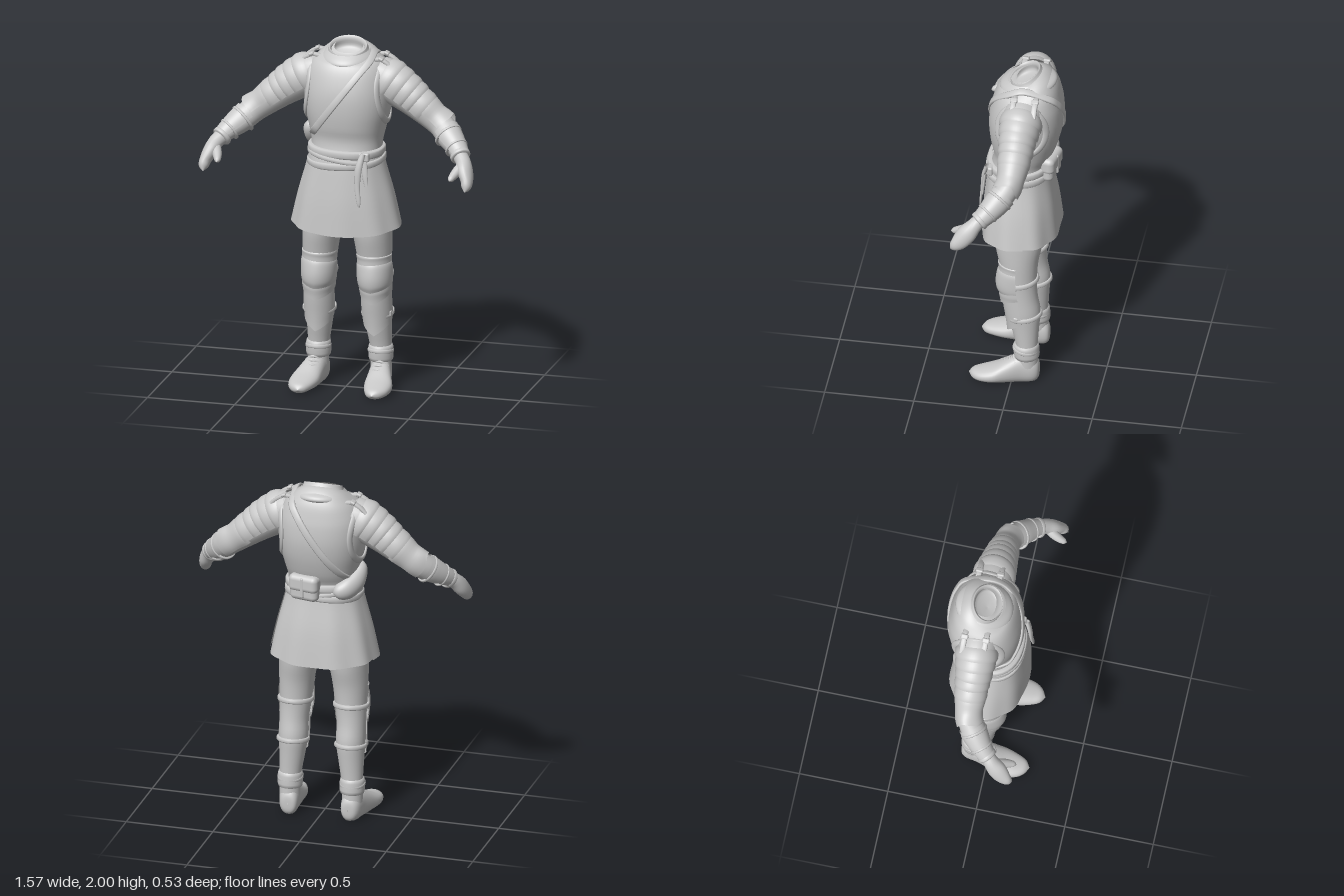
import * as THREE from 'three';
import { RoundedBoxGeometry } from 'three/addons/geometries/RoundedBoxGeometry.js';

const V = (x, y, z) => new THREE.Vector3(x, y, z);
const TAU = Math.PI * 2;
const steel = new THREE.MeshStandardMaterial({ color: 0xc8c8c8, side: THREE.DoubleSide });
steel.name = 'plain grey';

// Smoothly resample rows of numbers, n steps per segment
function sample(rows, n, loop) {
  const L = rows.length, out = [];
  const at = i => loop ? rows[(i + L) % L] : rows[Math.min(L - 1, Math.max(0, i))];
  for (let i = 0; i < (loop ? L : L - 1); i++) for (let k = 0; k < n; k++) {
    const t = k / n, a = at(i - 1), b = at(i), c = at(i + 1), d = at(i + 2);
    out.push(b.map((_, j) => b[j] + 0.5 * t * (c[j] - a[j] +
      t * (2 * a[j] - 5 * b[j] + 4 * c[j] - d[j] + t * (3 * (b[j] - c[j]) + d[j] - a[j])))));
  }
  if (!loop) out.push(rows[L - 1]);
  return out;
}

// Skin over sections [x, y, z, radius along ref, radius across]
function limb(parent, name, rows, o = {}) {
  const { n = 4, seg = 28, from = 0, to = TAU, p = 1, axis, loop = false, warp } = o;
  const ref = o.ref || (() => V(0, 0, 1));
  const S = sample(rows, n, loop), M = S.length, full = to - from > TAU - 0.001;
  const cols = full ? seg : seg + 1, pos = [], idx = [];
  const centre = i => V(...(loop ? S[(i + M) % M] : S[Math.min(M - 1, Math.max(0, i))]).slice(0, 3));
  const pw = v => Math.sign(v) * Math.abs(v) ** p;
  S.forEach((r, i) => {
    const c = centre(i), t = (axis ? axis.clone() : centre(i + 1).sub(centre(i - 1))).normalize();
    const u = ref(c).clone();
    u.addScaledVector(t, -u.dot(t)).normalize();
    const v = t.clone().cross(u);
    for (let j = 0; j < cols; j++) {
      const a = from + (to - from) * j / seg;
      const q = c.clone().addScaledVector(u, r[3] * pw(Math.cos(a))).addScaledVector(v, r[4] * pw(Math.sin(a)));
      if (warp) warp(q, i / (M - 1), a);
      pos.push(q.x, q.y, q.z);
    }
  });
  for (let i = 0; i < (loop ? M : M - 1); i++) for (let j = 0; j < seg; j++) {
    const i2 = (i + 1) % M, j2 = full ? (j + 1) % seg : j + 1;
    const a = i * cols + j, b = i * cols + j2, c = i2 * cols + j, d = i2 * cols + j2;
    idx.push(a, b, c, b, d, c);
  }
  const g = new THREE.BufferGeometry();
  g.setAttribute('position', new THREE.Float32BufferAttribute(pos, 3));
  g.setIndex(idx);
  g.computeVertexNormals();
  return add(parent, name, g);
}

function add(parent, name, geo, x = 0, y = 0, z = 0) {
  const m = new THREE.Mesh(geo, steel);
  m.name = name;
  m.position.set(x, y, z);
  parent.add(m);
  return m;
}

// Rounded band around a limb
function cuff(parent, name, c, axis, ra, rb, w, th, p = 1) {
  const d = axis.clone().normalize();
  const rows = [[-0.5, -th], [-0.45, 0.5 * th], [-0.25, th], [0.25, th], [0.45, 0.5 * th], [0.5, -th]].map(([s, e]) =>
    [...c.clone().addScaledVector(d, s * w).toArray(), ra + e, rb + e]);
  return limb(parent, name, rows, { n: 1, axis: d, p, seg: 36 });
}

const grow = (r, e) => [r[0], r[1], r[2], r[3] + e, r[4] + e];

// Breastplate sections and surface lookups for straps
const P = 0.88;
const torsoRows = [[0, 1.32, -0.015, 0.165, 0.2], [0, 1.42, -0.025, 0.155, 0.198], [0, 1.5, -0.035, 0.18, 0.213],
  [0, 1.6, -0.044, 0.2, 0.236], [0, 1.7, -0.052, 0.205, 0.244], [0, 1.8, -0.062, 0.19, 0.236], [0, 1.87, -0.07, 0.165, 0.207],
  [0, 1.91, -0.07, 0.14, 0.168], [0, 1.94, -0.065, 0.11, 0.125], [0, 1.955, -0.06, 0.07, 0.08]];
const fine = sample(torsoRows, 10);
const rowAt = y => fine.reduce((a, b) => Math.abs(b[1] - y) < Math.abs(a[1] - y) ? b : a);
const other = (v, r) => Math.max(0, 1 - Math.min(1, Math.abs(v) / r) ** (2 / P)) ** (P / 2);
const skinZ = (x, y, s) => { const r = rowAt(y); return r[2] + s * (r[3] * other(x, r[4]) + 0.005); };
const skinX = (y, z) => { const r = rowAt(y); return r[4] * other(z - r[2], r[3]) + 0.002; };
const outward = c => V(c.x, c.y - 1.65, c.z + 0.05);

function buildBody(body) {
  limb(body, 'breastplate', torsoRows, { p: P, seg: 48 });
  limb(body, 'gorget', [[0, 1.89, -0.06, 0.152, 0.145], [0, 1.905, -0.06, 0.162, 0.152], [0, 1.925, -0.06, 0.15, 0.14],
    [0, 1.945, -0.055, 0.115, 0.118]], { axis: V(0, 1, 0.15), seg: 40 });
  // Open collar, dipping to a notch at the front
  limb(body, 'neckCollar', [[0, 1.92, -0.05, 0.11, 0.125], [0, 1.945, -0.045, 0.095, 0.113], [0, 1.962, -0.04, 0.088, 0.106],
    [0, 1.945, -0.04, 0.078, 0.094], [0, 1.9, -0.045, 0.074, 0.09], [0, 1.885, -0.045, 0.002, 0.002]], { axis: V(0, 1, 0.45), seg: 36,
    warp: (q, s, a) => { if (s < 0.75) q.y -= 0.022 * s * Math.max(0, Math.cos(a)) ** 12; } });

  // Shoulder strap, down the chest and the back to the right hip
  const strap = [];
  for (let i = 0; i <= 8; i++) {
    const t = i / 8, x = -0.2 + 0.345 * t, y = 1.44 + 0.46 * t;
    strap.push([x, y, skinZ(x, y, 1), 0.008, 0.02]);
  }
  strap.push([0.15, 1.935, -0.06, 0.008, 0.02]);
  for (let i = 8; i >= 0; i--) {
    const t = i / 8, x = -0.19 + 0.325 * t, y = 1.42 + 0.47 * t;
    strap.push([x, y, skinZ(x, y, -1), 0.008, 0.02]);
  }
  limb(body, 'shoulderStrap', strap, { ref: outward, seg: 10, p: 0.6 });

  // Hips and split skirt
  limb(body, 'hips', [[0, 1.34, -0.015, 0.15, 0.19], [0, 1.1, -0.03, 0.16, 0.22], [0, 0.98, -0.03, 0.13, 0.18],
    [0, 0.93, -0.03, 0.05, 0.08], [0, 0.92, -0.03, 0.002, 0.002]]);
  const skirt = [[0, 1.37, -0.015, 0.165, 0.2], [0, 1.28, -0.015, 0.178, 0.22], [0, 1.12, -0.022, 0.2, 0.262], [0, 0.94, -0.028, 0.214, 0.3]];
  const folds = (q, s, a) => {
    const f = 1 + 0.018 * s * Math.cos(9 * a);
    q.x *= f; q.z *= f; q.y -= 0.012 * s * Math.cos(a * 2);
  };
  limb(body, 'skirtBack', skirt, { from: 1.5, to: TAU - 1.5, p: P, warp: folds, seg: 48 });
  limb(body, 'skirtFront', skirt.map((r, i) => grow(r, 0.003 + i * 0.002)), { from: -1.75, to: 1.75, p: P, warp: folds, seg: 48 });

  // Belts, hanging ends and knife
  cuff(body, 'upperBelt', V(0, 1.385, -0.018), V(0.03, 1, 0.02), 0.172, 0.204, 0.045, 0.012, P);
  cuff(body, 'lowerBelt', V(0, 1.325, -0.015), V(-0.05, 1, 0.06), 0.178, 0.208, 0.04, 0.012, P);
  cuff(body, 'crossBelt', V(0, 1.35, -0.015), V(0.13, 1, 0.0), 0.18, 0.208, 0.026, 0.01, P);
  add(body, 'beltBuckle', new RoundedBoxGeometry(0.06, 0.05, 0.03, 2, 0.01), 0.14, 1.375, 0.13);
  limb(body, 'knife', [[0.14, 1.4, 0.15, 0.012, 0.014], [0.12, 1.32, 0.172, 0.012, 0.02], [0.115, 1.22, 0.182, 0.009, 0.016],
    [0.125, 1.13, 0.19, 0.006, 0.012], [0.128, 1.1, 0.19, 0.002, 0.002]], { seg: 12 });
  limb(body, 'beltEnd', [[0.15, 1.35, 0.158, 0.007, 0.016], [0.155, 1.28, 0.165, 0.007, 0.016], [0.165, 1.22, 0.17, 0.004, 0.01]], { seg: 12 });

  // Box pouch at the back and curved pouch on the right hip
  const pouch = new THREE.Group();
  pouch.name = 'boxPouch';
  pouch.position.set(0.06, 1.395, -0.196);
  pouch.rotation.y = -0.2;
  body.add(pouch);
  add(pouch, 'pouchBody', new RoundedBoxGeometry(0.17, 0.145, 0.07, 4, 0.03));
  add(pouch, 'pouchFlap', new RoundedBoxGeometry(0.178, 0.1, 0.08, 4, 0.03), 0, 0.028, -0.003);
  add(pouch, 'pouchStrap', new RoundedBoxGeometry(0.022, 0.12, 0.086, 2, 0.01), 0, 0.008, -0.002);
  limb(body, 'hipPouch', [[-0.1, 1.375, -0.185, 0.004, 0.004], [-0.12, 1.38, -0.178, 0.035, 0.04], [-0.165, 1.39, -0.15, 0.045, 0.058],
    [-0.2, 1.415, -0.1, 0.045, 0.06], [-0.212, 1.45, -0.055, 0.042, 0.052], [-0.215, 1.49, -0.025, 0.032, 0.036],
    [-0.215, 1.52, -0.015, 0.004, 0.004]], { ref: c => V(c.x, 0, c.z) });
}

function buildArm(arm) {
  const A = [[0.17, 1.8, -0.06, 0.11, 0.11], [0.23, 1.775, -0.055, 0.108, 0.117], [0.325, 1.715, -0.05, 0.092, 0.106],
    [0.41, 1.65, -0.048, 0.08, 0.09], [0.53, 1.556, -0.035, 0.066, 0.074], [0.6, 1.495, 0.015, 0.065, 0.07],
    [0.66, 1.445, 0.07, 0.05, 0.053], [0.7, 1.405, 0.12, 0.037, 0.041]];
  limb(arm, 'sleeve', A);
  const F = sample(A, 6);
  // Overlapping shoulder plates
  for (let k = 0; k < 5; k++) {
    const i = 4 + 3 * k;
    limb(arm, 'shoulderPlate', [grow(F[i], 0.002), grow(F[i + 1], 0.009), grow(F[i + 3], 0.015), grow(F[i + 4], 0.01)],
      { n: 2, from: -Math.PI * 1.12, to: Math.PI * 0.12 });
  }
  // Armhole rim and shoulder buckles
  const rim = [];
  for (let i = 0; i < 16; i++) {
    const a = i / 16 * TAU, y = 1.71 + 0.165 * Math.cos(a), z = -0.055 + 0.135 * Math.sin(a);
    rim.push([skinX(y, z), y, z, 0.01, 0.02]);
  }
  limb(arm, 'armholeRim', rim, { loop: true, ref: outward, seg: 10 });
  for (const z of [-0.13, -0.01]) {
    limb(arm, 'shoulderBuckleStrap', [[0.15, 1.9, z, 0.01, 0.016], [0.19, 1.905, z, 0.01, 0.016], [0.235, 1.885, z, 0.01, 0.016],
      [0.275, 1.85, z, 0.01, 0.016]], { ref: () => V(0, 1, 0), seg: 10, p: 0.6 });
    add(arm, 'buckle', new RoundedBoxGeometry(0.03, 0.018, 0.042, 2, 0.008), 0.2, 1.908, z).rotation.z = -0.4;
  }
  // Elbow guard with a raised corner
  limb(arm, 'elbowGuard', [grow(F[19], 0.006), grow(F[20], 0.012), grow(F[22], 0.008), grow(F[24], 0.012), grow(F[26], 0.012)],
    { n: 3, from: -Math.PI * 1.2, to: 0, warp: (q, s, a) => {
      const e = Math.max(0, s - 0.5) * 2 * Math.max(0, Math.cos(a + 1.9)) ** 6;
      q.x -= 0.01 * e; q.y += 0.025 * e; q.z -= 0.012 * e;
    } });
  // Forearm plate and bands
  limb(arm, 'forearmPlate', [27, 30, 33, 36, 39].map(i => grow(F[i], 0.008)), { from: -Math.PI * 1.1, to: Math.PI * 0.1 });
  for (const [i, w] of [[29, 0.018], [35, 0.016], [39, 0.03]]) {
    const c = V(...F[i].slice(0, 3)), d = V(...F[i + 1].slice(0, 3)).sub(c);
    cuff(arm, 'armBand', c, d, F[i][3] + 0.004, F[i][4] + 0.004, w, 0.008);
  }
  // Gloved hand
  limb(arm, 'hand', [[0.688, 1.418, 0.105, 0.04, 0.042], [0.71, 1.395, 0.13, 0.044, 0.042], [0.73, 1.355, 0.165, 0.054, 0.042],
    [0.75, 1.31, 0.202, 0.046, 0.033], [0.754, 1.28, 0.232, 0.03, 0.026], [0.751, 1.26, 0.252, 0.003, 0.003]], { seg: 20 });
  limb(arm, 'thumb', [[0.712, 1.385, 0.14, 0.028, 0.028], [0.69, 1.355, 0.185, 0.028, 0.028], [0.675, 1.335, 0.225, 0.022, 0.022],
    [0.67, 1.325, 0.25, 0.015, 0.015], [0.67, 1.322, 0.262, 0.002, 0.002]], { ref: () => V(0, 1, 0), seg: 16 });
}

function buildLeg(leg) {
  limb(leg, 'trouserLeg', [[0.13, 1.02, -0.03, 0.14, 0.12], [0.145, 0.9, -0.028, 0.133, 0.108], [0.155, 0.78, -0.03, 0.11, 0.098],
    [0.16, 0.65, -0.038, 0.095, 0.088], [0.165, 0.55, -0.05, 0.088, 0.081], [0.165, 0.45, -0.062, 0.092, 0.082],
    [0.17, 0.35, -0.07, 0.078, 0.072], [0.178, 0.22, -0.08, 0.06, 0.06], [0.18, 0.1, -0.08, 0.062, 0.058]]);
  // Pointed plates on knee and shin
  const point = k => (q, s, a) => { q.y -= k * s ** 3 * Math.max(0, 1 - Math.abs(a) / 1.5); };
  const plate = (name, rows, k, half = 1.55) => limb(leg, name, rows, { from: -half, to: half, warp: point(k) });
  plate('shinPlate', [[0.165, 0.58, -0.04, 0.105, 0.086], [0.165, 0.5, -0.05, 0.104, 0.088], [0.166, 0.44, -0.058, 0.1, 0.088],
    [0.168, 0.395, -0.062, 0.094, 0.083]], 0.075);
  plate('lowerKneePlate', [[0.162, 0.62, -0.035, 0.115, 0.096], [0.163, 0.585, -0.04, 0.12, 0.095], [0.164, 0.56, -0.042, 0.112, 0.09]], 0.05);
  plate('upperKneePlate', [[0.156, 0.785, -0.03, 0.108, 0.095], [0.156, 0.775, -0.03, 0.115, 0.101], [0.157, 0.75, -0.03, 0.112, 0.098],
    [0.158, 0.7, -0.03, 0.114, 0.099]], 0);
  plate('kneeCap', [[0.158, 0.735, -0.03, 0.11, 0.097], [0.159, 0.715, -0.03, 0.12, 0.102], [0.16, 0.66, -0.032, 0.13, 0.102],
    [0.161, 0.62, -0.035, 0.127, 0.099], [0.162, 0.595, -0.036, 0.112, 0.093]], 0.03);
  // Straps and ankle wraps
  const up = V(0, 1, 0);
  cuff(leg, 'thighStrap', V(0.14, 0.95, -0.029), up, 0.136, 0.114, 0.025, 0.005);
  cuff(leg, 'kneeStrap', V(0.16, 0.66, -0.037), V(0, 1, 0.15), 0.098, 0.09, 0.03, 0.011);
  cuff(leg, 'calfStrap', V(0.166, 0.43, -0.063), V(0, 1, 0.15), 0.092, 0.082, 0.028, 0.01);
  add(leg, 'kneeBuckle', new RoundedBoxGeometry(0.02, 0.04, 0.03, 2, 0.008), 0.25, 0.655, -0.02);
  add(leg, 'calfBuckle', new RoundedBoxGeometry(0.02, 0.035, 0.03, 2, 0.008), 0.245, 0.435, -0.03);
  cuff(leg, 'ankleWrap', V(0.179, 0.195, -0.078), V(0, 1, 0.06), 0.064, 0.062, 0.095, 0.008);
  cuff(leg, 'ankleStrap', V(0.179, 0.205, -0.075), V(0, 1, -0.12), 0.069, 0.067, 0.022, 0.006);
  // Shoe with flat sole
  limb(leg, 'shoe', [[0.173, 0.065, -0.15, 0.003, 0.003], [0.174, 0.065, -0.145, 0.05, 0.036], [0.178, 0.072, -0.115, 0.082, 0.054],
    [0.186, 0.076, -0.05, 0.09, 0.06], [0.2, 0.06, 0.03, 0.07, 0.072], [0.212, 0.045, 0.1, 0.048, 0.08],
    [0.218, 0.036, 0.17, 0.035, 0.066], [0.215, 0.032, 0.215, 0.025, 0.04], [0.212, 0.03, 0.238, 0.003, 0.003]],
  { ref: () => up, axis: V(0, 0, 1), p: 0.9, warp: q => { q.y = Math.max(q.y, 0.012 * Math.max(0, q.z * 4 - 0.4)); } });
  for (let i = 0; i < 3; i++) {
    limb(leg, 'shoeLace', [[0.15, 0.135 - i * 0.014, -0.025 + i * 0.025, 0.007, 0.007], [0.192, 0.155 - i * 0.017, -0.01 + i * 0.025, 0.008, 0.008],
      [0.235, 0.13 - i * 0.014, -0.025 + i * 0.025, 0.007, 0.007]], { seg: 8 });
  }
}

export function createModel() {
  const model = new THREE.Group();
  model.name = 'armouredFigure';
  const body = new THREE.Group();
  body.name = 'body';
  buildBody(body);
  model.add(body);
  for (const [name, build] of [['Arm', buildArm], ['Leg', buildLeg]]) {
    const left = new THREE.Group();
    build(left);
    left.name = 'left' + name;
    const right = left.clone();
    right.name = 'right' + name;
    right.scale.x = -1;
    model.add(left, right);
  }
  return model;
}
